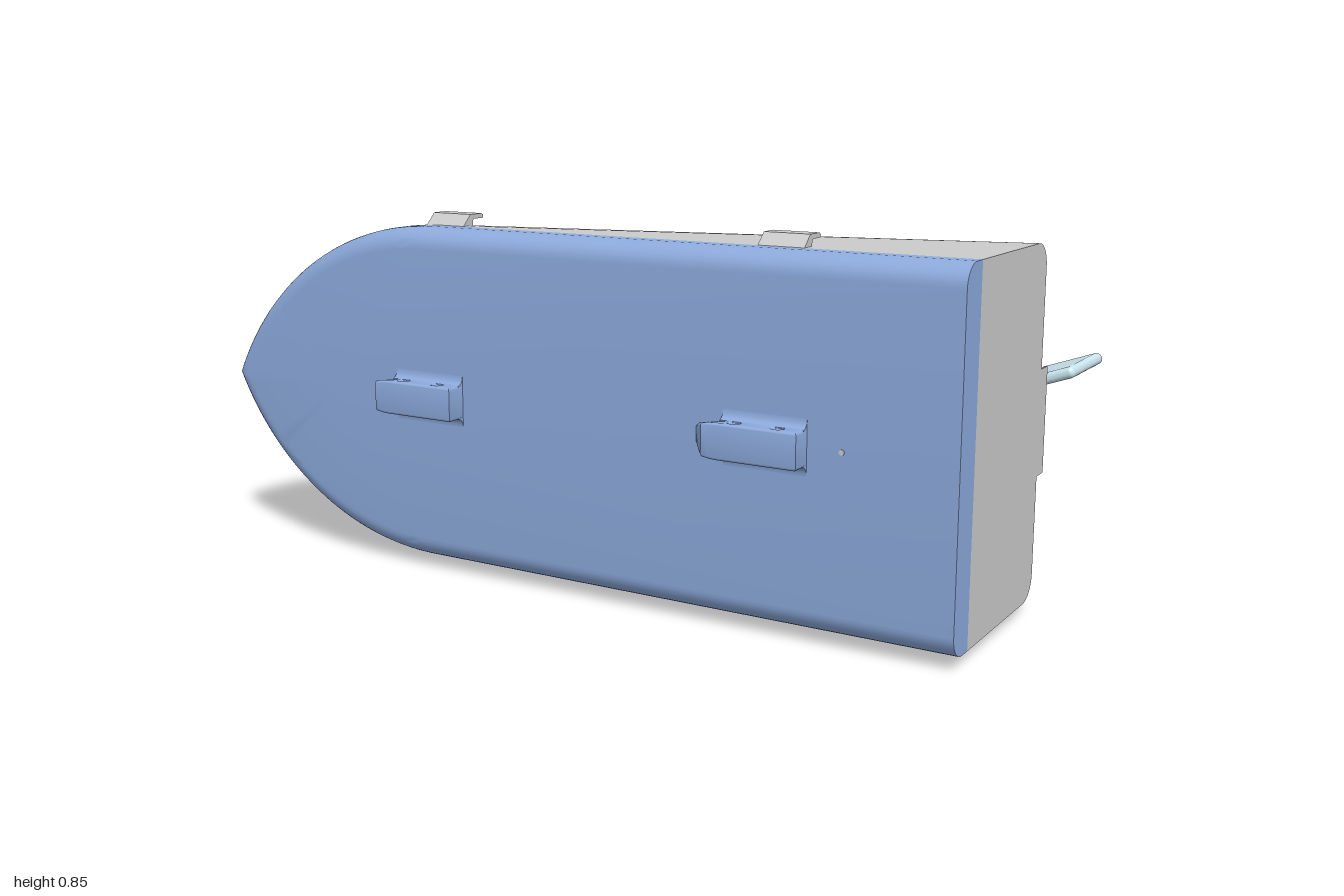
import * as THREE from 'three';
import { toCreasedNormals } from 'three/addons/utils/BufferGeometryUtils.js';
import { RoundedBoxGeometry } from 'three/addons/geometries/RoundedBoxGeometry.js';

const mat = (color) => new THREE.MeshStandardMaterial({ color });
const V = (x, y, z) => new THREE.Vector3(x, y, z);

// Plan: circular-arc bow, parallel sides aft of X0
const CY = 0.425, W = 0.397, X0 = -0.38, STERN = 0.95, RAIL = 0.305;
const R = ((1 + X0) ** 2 + W * W) / (2 * W);
const halfWidth = (x) => {
  const d = Math.min(0, x - X0);
  return Math.max(0.0005, Math.sqrt(R * R - d * d) - (R - W));
};

function add(parent, name, geo, material) {
  const mesh = new THREE.Mesh(geo, material);
  mesh.name = name;
  parent.add(mesh);
  return mesh;
}

// Skin over closed rings, with fan caps at both ends
function loft(rings, crease) {
  const n = rings[0].length, pos = [], idx = [];
  rings.forEach((r) => r.forEach((p) => pos.push(p.x, p.y, p.z)));
  for (let i = 0; i < rings.length - 1; i++) for (let j = 0; j < n; j++) {
    const a = i * n + j, b = i * n + (j + 1) % n;
    idx.push(a, b, b + n, a, b + n, a + n);
  }
  [0, rings.length - 1].forEach((k) => {
    const c = rings[k].reduce((s, p) => s.add(p), V(0, 0, 0)).divideScalar(n);
    const ci = pos.length / 3;
    pos.push(c.x, c.y, c.z);
    for (let j = 0; j < n; j++) {
      const a = k * n + j, b = k * n + (j + 1) % n;
      if (k) idx.push(ci, a, b); else idx.push(ci, b, a);
    }
  });
  const g = new THREE.BufferGeometry();
  g.setAttribute('position', new THREE.Float32BufferAttribute(pos, 3));
  g.setIndex(idx);
  g.computeVertexNormals();
  return toCreasedNormals(g, crease);
}

// U-shaped section whose bilge radius grows from stern to bow
function hullSection(x) {
  const w = halfWidth(x), t = Math.min(1, (STERN - x) / (STERN - X0));
  const r = Math.min(w * 0.99, 0.055 + (W - 0.055) * t), pts = [V(x, CY - w, RAIL)];
  [-1, 1].forEach((s) => {
    for (let i = 0; i <= 14; i++) {
      const a = (s < 0 ? i : 14 - i) / 14 * Math.PI / 2;
      pts.push(V(x, CY + s * (w - r + r * Math.cos(a)), RAIL - w + r - r * Math.sin(a)));
    }
  });
  pts.push(V(x, CY + w, RAIL));
  return pts;
}

// Deck outline inset by t at height z
function deckRing(t, z) {
  const r = R - t, aMax = Math.acos((R - W) / r), half = [];
  for (let i = 0; i <= 32; i++) {
    const a = aMax * (1 - i / 32);
    half.push([X0 - r * Math.sin(a), r * Math.cos(a) - (R - W)]);
  }
  half.push([STERN, W - t]);
  return [...half.map(([x, h]) => V(x, CY - h, z)),
    ...half.slice(1).reverse().map(([x, h]) => V(x, CY + h, z))];
}

function rod(parent, name, a, b, r1, r2, material) {
  const d = b.clone().sub(a);
  const m = add(parent, name, new THREE.CylinderGeometry(r2, r1, d.length(), 24), material);
  m.position.copy(a).add(b).multiplyScalar(0.5);
  m.quaternion.setFromUnitVectors(V(0, 1, 0), d.normalize());
  return m;
}

// Extrude a (-z, y) profile along x
const extrudeX = (shape, x0, x1) => new THREE.ExtrudeGeometry(shape,
  { depth: x1 - x0, bevelEnabled: false, curveSegments: 8 }).rotateY(Math.PI / 2).translate(x0, 0, 0);

// Deck lug with rounded nose, two cross holes and concave feet
function deckLug(x0, material) {
  const g = new THREE.Group();
  g.name = 'deckLug';
  const s = new THREE.Shape();
  s.moveTo(0.265, 0.375);
  s.lineTo(0.265, 0.436);
  for (let i = 0; i <= 5; i++) s.lineTo(0.085 - i * 0.008, 0.436);
  for (let i = 1; i <= 5; i++) s.lineTo(0.045 - i * 0.009, 0.436 - i * 0.0115);
  [0.11, 0.21].forEach((x) => s.holes.push(new THREE.Path().absarc(x, 0.409, 0.012, 0, Math.PI * 2)));
  const geo = new THREE.ExtrudeGeometry(s, { depth: 0.068, bevelThickness: 0.006, bevelSize: 0.006,
    bevelOffset: -0.006, bevelSegments: 3, curveSegments: 10 }).rotateX(Math.PI / 2).translate(0, 0.034, 0);
  const p = geo.attributes.position;
  for (let i = 0; i < p.count; i++) {
    const k = THREE.MathUtils.clamp((0.085 - p.getX(i)) / 0.088, 0, 0.98);
    p.setY(i, CY + p.getY(i) * Math.sqrt(1 - k * k));
  }
  add(g, 'lugBody', toCreasedNormals(geo, 0.6), material);
  [-1, 1].forEach((k) => {
    const f = new THREE.Shape();
    f.moveTo(-0.38, CY + k * 0.036);
    f.lineTo(-0.38, CY + k * 0.06);
    f.lineTo(-0.385, CY + k * 0.06);
    f.quadraticCurveTo(-0.387, CY + k * 0.042, -0.4, CY + k * 0.039);
    f.lineTo(-0.4, CY + k * 0.036);
    add(g, 'lugFoot', extrudeX(f, 0.07, 0.265), material);
  });
  g.position.x = x0;
  return g;
}

export function createModel() {
  const boat = new THREE.Group();
  boat.name = 'boat';
  const grey = mat(0xcccccc), blue = mat(0x8caadc), pale = mat(0xcbe6f0);

  // Hull
  const xs = [], aMax = Math.asin((1 + X0) / R);
  for (let i = 0; i <= 32; i++) xs.push(X0 - R * Math.sin(aMax * (1 - i / 32)));
  for (let i = 1; i <= 14; i++) xs.push(X0 + (STERN - X0) * i / 14);
  add(boat, 'hull', loft(xs.map(hullSection), 0.6), grey);

  // Deck with rounded rim
  const levels = [deckRing(0, RAIL)];
  for (let i = 0; i <= 8; i++) {
    const a = i / 8 * Math.PI / 2;
    levels.push(deckRing(0.05 * (1 - Math.cos(a)), 0.335 + 0.05 * Math.sin(a)));
  }
  add(boat, 'deck', loft(levels, 0.6), blue);
  [-0.525, 0.357].forEach((x) => boat.add(deckLug(x, blue)));
  rod(boat, 'deckPin', V(0.7, CY, 0.37), V(0.7, CY, 0.387), 0.006, 0.006, grey);

  // Side clips
  const clip = [[0.305, 0.394], [0.275, 0.423], [0.232, 0.423], [0.226, 0.419], [0.226, 0.412],
    [0.262, 0.412], [0.266, 0.408], [0.266, 0.394]];
  [-1, 1].forEach((s) => [-0.42, 0.46].forEach((x) => {
    const shape = new THREE.Shape(clip.map(([z, y]) => new THREE.Vector2(-z, CY + s * y)));
    add(boat, 'sideClip', extrudeX(shape, x, x + 0.108), grey);
  }));

  // Propeller shaft
  const hub = V(0.53, CY, -0.232), start = V(0.03, CY, -0.072);
  const dir = hub.clone().sub(start).normalize();
  const sleeveEnd = V(0.4, CY, -0.19);
  rod(boat, 'shaftSleeve', start, sleeveEnd, 0.018, 0.018, pale);
  rod(boat, 'shaft', sleeveEnd, hub, 0.009, 0.009, pale);

  // Propeller
  const prop = new THREE.Group();
  prop.name = 'propeller';
  prop.position.copy(hub);
  prop.quaternion.setFromUnitVectors(V(0, 1, 0), dir);
  const hubProfile = [[0, -0.032], [0.018, -0.032], [0.024, -0.02], [0.024, 0.012], [0.017, 0.032], [0, 0.04]];
  add(prop, 'hub', toCreasedNormals(new THREE.LatheGeometry(
    hubProfile.map(([x, y]) => new THREE.Vector2(x, y)), 24), 0.6), pale);
  const blade = new THREE.SphereGeometry(1, 24, 16);
  const p = blade.attributes.position;
  for (let i = 0; i < p.count; i++) {
    const u = p.getX(i), pitch = 0.85 - 0.3 * u;
    const c = p.getZ(i) * (0.05 + 0.016 * u), t = p.getY(i) * 0.006;
    p.setXYZ(i, 0.071 + 0.059 * u, c * Math.sin(pitch) + t * Math.cos(pitch),
      c * Math.cos(pitch) - t * Math.sin(pitch));
  }
  blade.computeVertexNormals();
  for (let i = 0; i < 4; i++) {
    add(prop, 'blade', blade, pale).rotation.y = 0.17 + i * Math.PI / 2;
  }
  boat.add(prop);

  // Triangular rudder mount
  const tri = (x0, x1, h0, h1) => [[x0, -h0], [x1, -h1], [x1, h1], [x0, h0]]
    .map(([x, y]) => new THREE.Vector2(x, CY + y));
  const frame = new THREE.Shape(tri(0.64, STERN, 0.028, 0.12));
  frame.holes.push(new THREE.Path(tri(0.74, 0.915, 0.022, 0.074)));
  add(boat, 'rudderMount', new THREE.ExtrudeGeometry(frame, { depth: 0.045, bevelEnabled: false })
    .translate(0, 0, -0.133), grey);

  // Rudder post with flared foot
  const foot = new THREE.CylinderGeometry(0.028, 0.06, 0.03, 4, 1, false, Math.PI / 4)
    .toNonIndexed().rotateX(-Math.PI / 2);
  foot.computeVertexNormals();
  add(boat, 'postFoot', foot, grey).position.set(0.683, CY, -0.146);
  add(boat, 'rudderPost', new THREE.BoxGeometry(0.036, 0.038, 0.31), grey).position.set(0.658, CY, -0.28);
  rod(boat, 'rudderPivot', V(0.695, CY, -0.125), V(0.695, CY, -0.435), 0.018, 0.018, grey);

  // Rudder blade, turned to one side
  const rudder = add(boat, 'rudder', new RoundedBoxGeometry(0.335, 0.026, 0.227, 4, 0.012), pale);
  rudder.position.set(0.841, 0.475, -0.276);
  rudder.rotation.z = 0.345;
  return boat;
}
